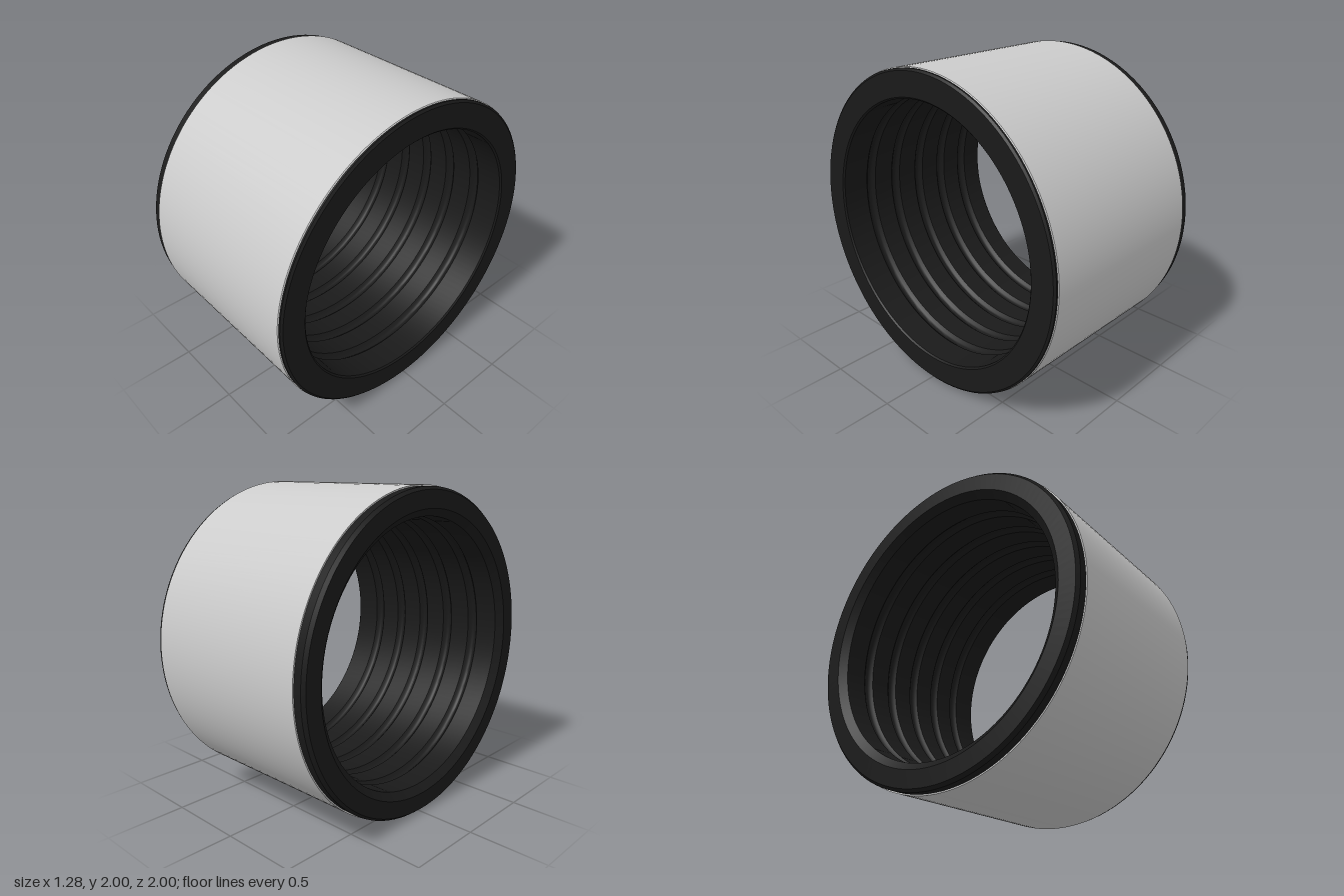
import * as THREE from 'three';
import { toCreasedNormals } from 'three/addons/utils/BufferGeometryUtils.js';

// Ring about the x axis from a closed [x, radius] profile (outside runs towards +x).
function ring(name, profile, color) {
  const points = [...profile, profile[0]].map(([x, r]) => new THREE.Vector2(r, x));
  const geometry = toCreasedNormals(new THREE.LatheGeometry(points, 128), 0.5);
  geometry.rotateZ(-Math.PI / 2);
  const mesh = new THREE.Mesh(geometry, new THREE.MeshStandardMaterial({ color }));
  mesh.name = name;
  return mesh;
}

export function createModel() {
  const group = new THREE.Group();
  group.name = 'bushing';

  // Metal outer sleeve
  const sleeve = ring('outerSleeve', [
    [-0.57, 0.95], [-0.57, 1], [0.615, 1], [0.62, 0.995], [0.62, 0.95],
  ], 0xcccccc);

  // Dark liner: chamfered flanges at both ends, sleeve seat between them
  const outside = [
    [-0.64, 0.87], [-0.64, 0.975], [-0.62, 0.992], [-0.57, 0.992], [-0.57, 0.95],
    [0.62, 0.95], [0.62, 0.995], [0.63, 0.995], [0.64, 0.982], [0.64, 0.835], [0.63, 0.825],
  ];
  // Bore with evenly spaced rounded grooves, running back towards -x
  const bore = [];
  for (const centre of [0.42, 0.21, 0, -0.21, -0.42]) {
    for (let i = 0; i <= 8; i++) {
      const t = i / 8;
      bore.push([centre + 0.035 - 0.07 * t, 0.825 + 0.025 * Math.sin(Math.PI * t)]);
    }
  }
  const liner = ring('groovedLiner', [...outside, ...bore, [-0.6, 0.825]], 0x1a1a1a);

  group.add(sleeve, liner);
  group.position.y = 1;

  const model = new THREE.Group();
  model.name = 'sleeveBearing';
  model.add(group);
  return model;
}
